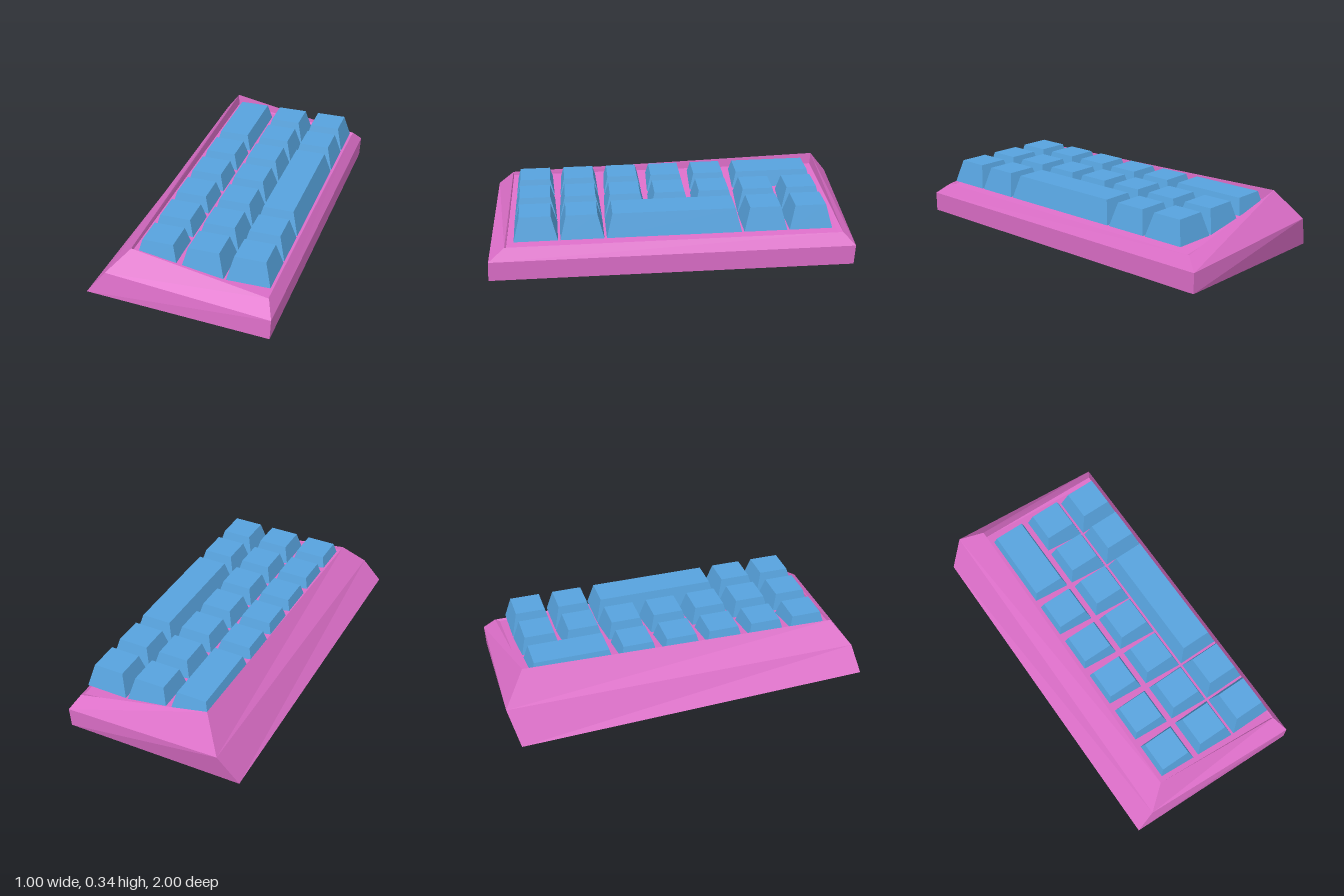
import * as THREE from 'three';

const caseMat = new THREE.MeshStandardMaterial({ color: 0xdc6ec8, flatShading: true });
const keyMat = new THREE.MeshStandardMaterial({ color: 0x57a3de, flatShading: true });

// Skin a stack of four-cornered rings (front-left, front-right, back-right, back-left seen from above), capped at both ends
function loft(rings) {
  const pos = [];
  const quad = (a, b, c, d) => pos.push(...a, ...b, ...c, ...a, ...c, ...d);
  for (let r = 0; r < rings.length - 1; r++) {
    const lo = rings[r], hi = rings[r + 1];
    for (let i = 0; i < 4; i++) {
      const j = (i + 1) % 4;
      quad(lo[i], lo[j], hi[j], hi[i]);
    }
  }
  const [a, b, c, d] = rings[0];
  quad(d, c, b, a);
  quad(...rings[rings.length - 1]);
  const geo = new THREE.BufferGeometry();
  geo.setAttribute('position', new THREE.Float32BufferAttribute(pos, 3));
  geo.computeVertexNormals();
  return geo;
}

// Keycap: a box whose top is drawn in on all sides
function keycap(x0, x1, z0, z1, y0, y1, inset) {
  const w = x1 - x0, d = z1 - z0;
  const geo = new THREE.BoxGeometry(w, y1 - y0, d);
  const p = geo.attributes.position;
  for (let i = 0; i < p.count; i++) {
    if (p.getY(i) < 0) continue;
    p.setX(i, p.getX(i) - Math.sign(p.getX(i)) * inset);
    p.setZ(i, p.getZ(i) - Math.sign(p.getZ(i)) * inset);
  }
  geo.translate((x0 + x1) / 2, (y0 + y1) / 2, (z0 + z1) / 2);
  geo.computeVertexNormals();
  return geo;
}

export function createModel() {
  const model = new THREE.Group();
  model.name = 'numericKeypad';

  // Wedge case: base, waist, rim, then the sunken sloping tray
  const body = new THREE.Mesh(loft([
    [[-0.5, 0.055, 0.98], [0.488, 0.005, 1], [0.49, 0.003, -0.965], [-0.5, 0, -0.95]],
    [[-0.4, 0.18, 0.96], [0.493, 0.115, 0.995], [0.495, 0.115, -0.97], [-0.4, 0.18, -1]],
    [[-0.287, 0.295, 0.87], [0.455, 0.18, 0.908], [0.455, 0.18, -0.905], [-0.287, 0.34, -0.882]],
    [[-0.285, 0.275, 0.867], [0.448, 0.17, 0.9], [0.448, 0.17, -0.88], [-0.285, 0.275, -0.878]],
  ]), caseMat);
  body.name = 'case';
  model.add(body);

  // Keys: each column lists how many rows its keys span, from back to front
  const keys = new THREE.Group();
  keys.name = 'keys';
  const columns = [[2, 1, 1, 1, 1, 1], [1, 1, 1, 1, 1, 1, 1], [1, 1, 3, 1, 1]];
  const pitch = 0.245, size = 0.232;
  columns.forEach((spans, c) => {
    const x0 = -0.275 + c * pitch;
    let row = 0;
    for (const span of spans) {
      const z0 = -0.844 + row * pitch;
      const z1 = z0 + (span - 1) * pitch + size;
      const key = new THREE.Mesh(keycap(x0, x0 + size, z0, z1, 0.205, 0.331, 0.033), keyMat);
      key.name = span > 1 ? 'longKey' : 'key';
      keys.add(key);
      row += span;
    }
  });
  model.add(keys);
  return model;
}
